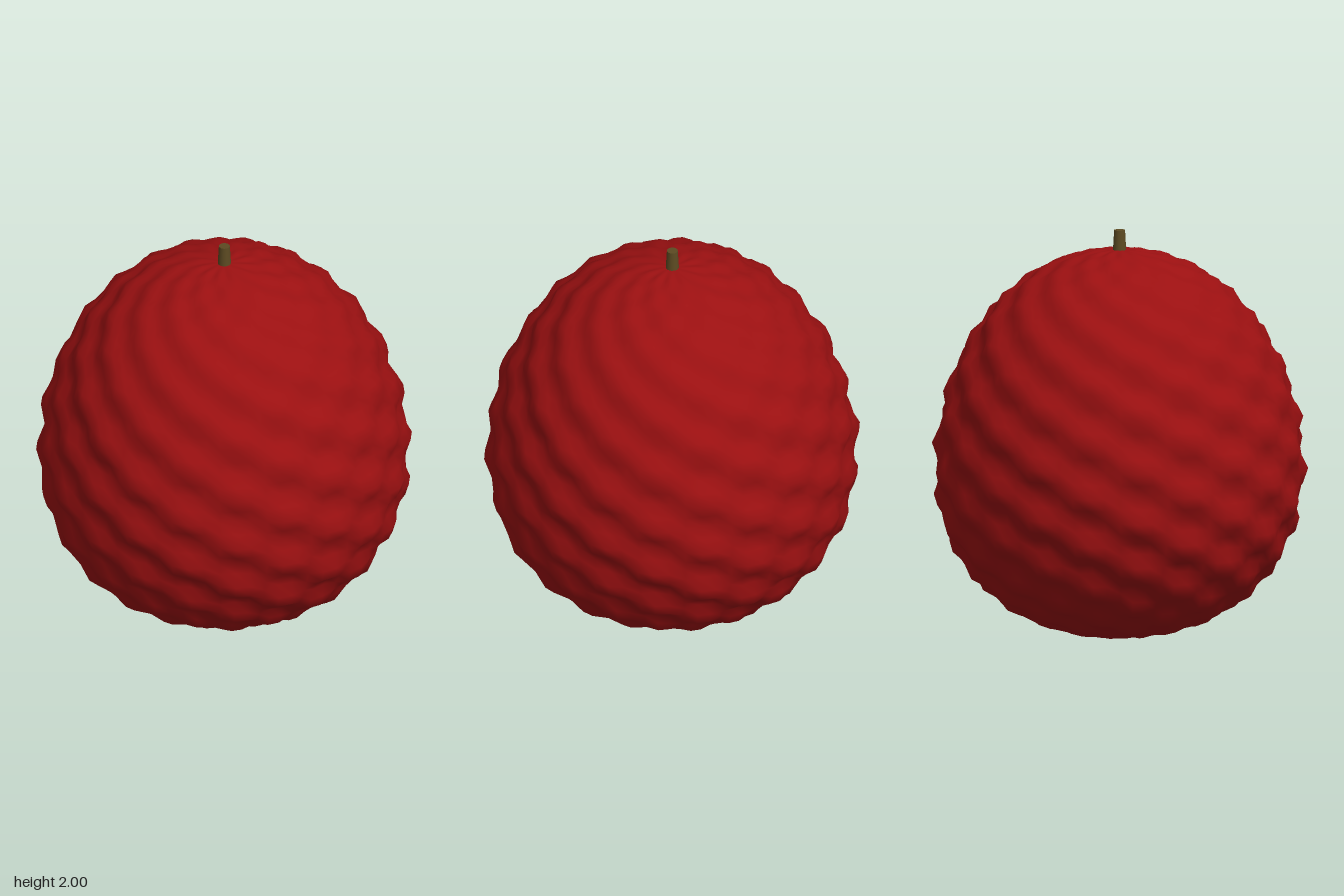
import * as THREE from 'three';
import { mergeVertices } from 'three/addons/utils/BufferGeometryUtils.js';

const material = (name, color) => {
  const m = new THREE.MeshStandardMaterial({ color });
  m.name = name;
  return m;
};

// Egg-shaped skin, fuller below, covered by staggered rows of pointed bumps
function skinGeometry() {
  const sphere = new THREE.SphereGeometry(1, 72, 48);
  sphere.deleteAttribute('uv');
  sphere.deleteAttribute('normal');
  const geo = mergeVertices(sphere, 1e-4); // close the seam so normals stay smooth
  const pos = geo.attributes.position;
  for (let i = 0; i < pos.count; i++) {
    const x = pos.getX(i), y = pos.getY(i), z = pos.getZ(i);
    const around = Math.atan2(x, z);
    const lat = Math.asin(THREE.MathUtils.clamp(y, -1, 1));
    const bump = 1 + 0.036 * Math.cos(11 * around) * Math.cos(22 * lat) * Math.cos(lat);
    const wide = 0.883 * (1 - 0.1 * y + 0.07 * y * y) * bump;
    pos.setXYZ(i, x * wide, 0.953 + y * 0.951 * bump, z * wide);
  }
  geo.computeVertexNormals();
  return geo;
}

export function createModel() {
  const model = new THREE.Group();
  model.name = 'fruit';

  const skin = new THREE.Mesh(skinGeometry(), material('deep red skin', 0x9b1011));
  skin.name = 'bumpySkin';

  // Short woody stem, sunk slightly into the top
  const stem = new THREE.Mesh(
    new THREE.CylinderGeometry(0.027, 0.035, 0.14, 12),
    material('woody brown', 0x5c4a22)
  );
  stem.name = 'stem';
  stem.position.y = 1.93;

  model.add(skin, stem);
  return model;
}
